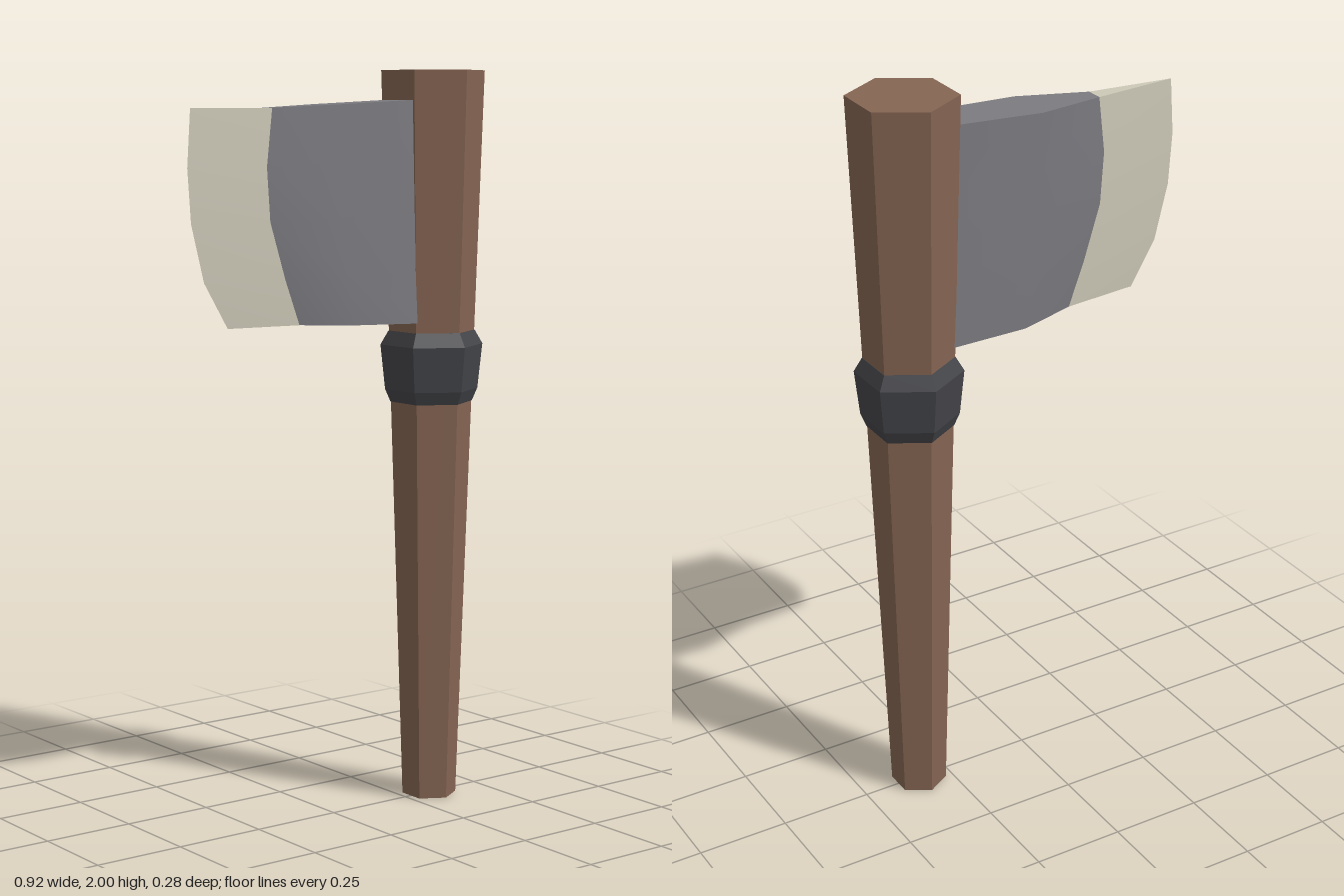
import * as THREE from 'three';

const HANDLE_X = 0.335;

// Rows run from the top of the blade to the bottom.
// Each row: y at the handle, y at the edge, x of the bulge, x of the bevel line, x of the cutting edge
const ROWS = [
  [1.925, 1.9, -0.02, -0.215, -0.45],
  [1.78, 1.75, -0.025, -0.232, -0.46],
  [1.63, 1.61, -0.02, -0.222, -0.45],
  [1.47, 1.46, 0.0, -0.175, -0.412],
  [1.325, 1.34, 0.03, -0.13, -0.34],
];
const HALF_THICKNESS = [0.059, 0.07, 0.024, 0];

// Point on the blade surface: column 0 is inside the handle, column 3 is the cutting edge
function bladePoint(col, row, side) {
  const [yIn, yOut, xBulge, xBevel, xEdge] = ROWS[row];
  const x = [0.3, xBulge, xBevel, xEdge][col];
  const t = Math.min(1, (0.3 - x) / (0.3 - xBevel));
  return [x, yIn + (yOut - yIn) * t, side * HALF_THICKNESS[col]];
}

// Both cheeks and the top and bottom caps between two columns
function bladeGeometry(colStart, colEnd) {
  const positions = [], index = [];
  const quad = (a, b, c, d, flip) =>
    index.push(...(flip ? [a, c, b, a, d, c] : [a, b, c, a, c, d]));
  const cols = colEnd - colStart + 1;
  // cheeks share vertices, so they shade smoothly
  for (const side of [1, -1]) {
    const base = positions.length / 3;
    for (let r = 0; r < ROWS.length; r++)
      for (let c = colStart; c <= colEnd; c++) positions.push(...bladePoint(c, r, side));
    for (let r = 0; r < ROWS.length - 1; r++)
      for (let c = 0; c < cols - 1; c++) {
        const k = base + r * cols + c;
        quad(k + 1, k + 1 + cols, k + cols, k, side < 0);
      }
  }
  // caps have their own vertices, so their borders stay sharp
  for (const row of [0, ROWS.length - 1])
    for (let c = colStart; c < colEnd; c++) {
      const k = positions.length / 3;
      positions.push(...bladePoint(c, row, 1), ...bladePoint(c, row, -1),
        ...bladePoint(c + 1, row, -1), ...bladePoint(c + 1, row, 1));
      quad(k, k + 1, k + 2, k + 3, row > 0);
    }
  const g = new THREE.BufferGeometry();
  g.setAttribute('position', new THREE.Float32BufferAttribute(positions, 3));
  g.setIndex(index);
  g.computeVertexNormals();
  return g;
}

// Six-sided parts get flat faces
function faceted(geometry) {
  const g = geometry.toNonIndexed();
  g.computeVertexNormals();
  return g;
}

function material(name, color) {
  const m = new THREE.MeshStandardMaterial({ color });
  m.name = name;
  return m;
}

export function createModel() {
  const wood = material('brown wood', 0x856553);
  const iron = material('dark iron', 0x444549);
  const steel = material('grey steel', 0x7b7a80);
  const honed = material('pale honed steel', 0xcdc9b8);

  const group = new THREE.Group();
  group.name = 'axe';
  const add = (name, geometry, mat) => {
    const mesh = new THREE.Mesh(geometry, mat);
    mesh.name = name;
    group.add(mesh);
    return mesh;
  };

  // Tapered hexagonal handle
  add('handle', faceted(new THREE.CylinderGeometry(0.141, 0.075, 2, 6)), wood)
    .position.set(HANDLE_X, 1, 0);

  // Bevelled collar below the blade
  const profile = [[0.1, 1.105], [0.113, 1.105], [0.128, 1.14], [0.141, 1.262], [0.119, 1.3], [0.1, 1.3]]
    .map(([r, y]) => new THREE.Vector2(r, y));
  add('collar', faceted(new THREE.LatheGeometry(profile, 6)), iron)
    .position.set(HANDLE_X, 0, 0);

  // Blade body and honed cutting edge
  add('bladeBody', bladeGeometry(0, 2), steel);
  add('cuttingEdge', bladeGeometry(2, 3), honed);

  return group;
}
